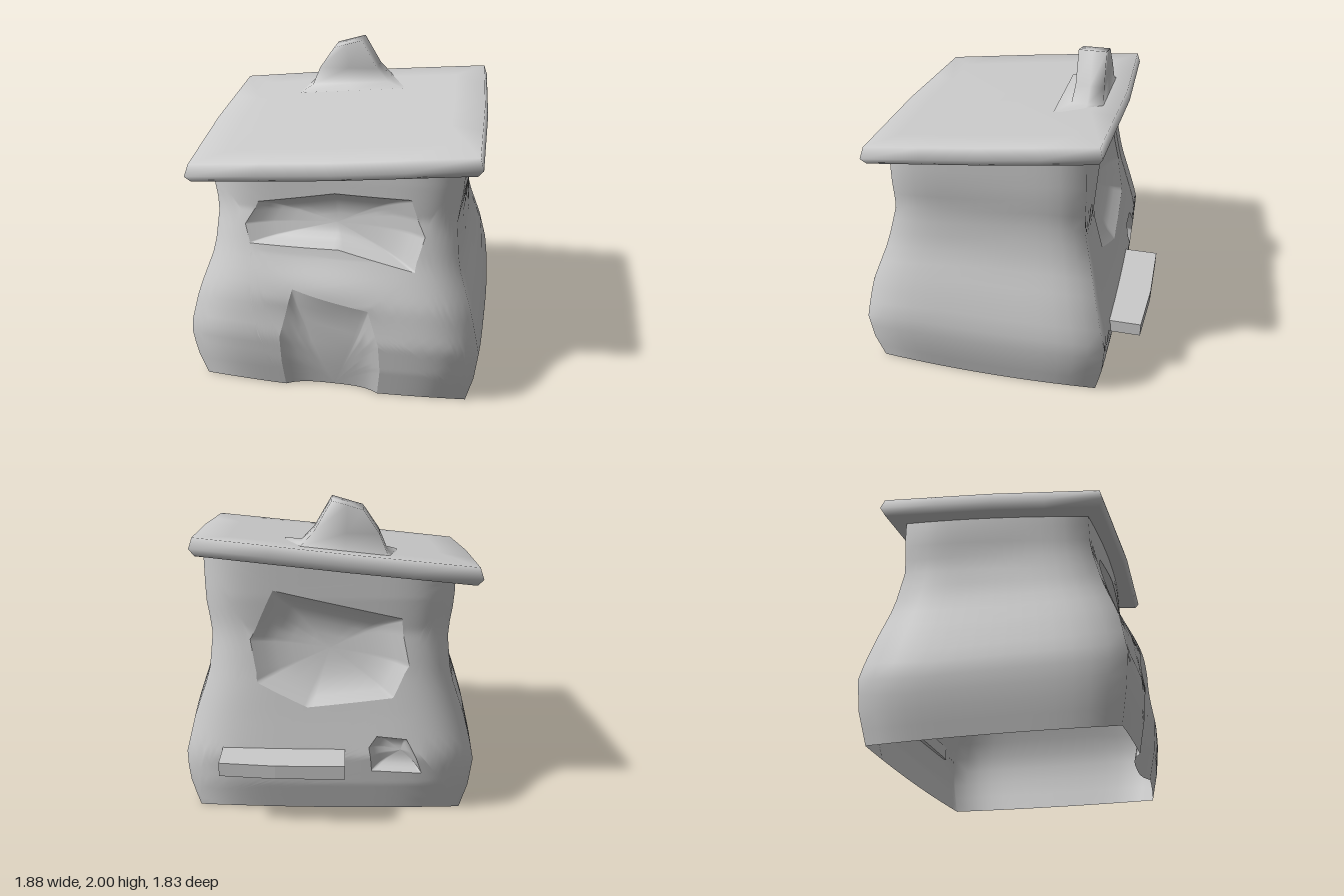
import * as THREE from 'three';
import { mergeGeometries, mergeVertices } from 'three/addons/utils/BufferGeometryUtils.js';

const material = new THREE.MeshStandardMaterial({ color: 0xcccccc, side: THREE.DoubleSide });
const V2 = (p) => new THREE.Vector2(p[0], p[1]);

// Body silhouette by height: y, half width, front z, back z
const profile = [
  [0, 0.88, 0.86, -0.66], [0.2, 0.925, 0.9, -0.7], [0.4, 0.945, 0.92, -0.71],
  [0.65, 0.885, 0.88, -0.645], [0.92, 0.79, 0.785, -0.58], [1.18, 0.765, 0.72, -0.53],
  [1.4, 0.795, 0.72, -0.535], [1.8, 0.8, 0.71, -0.52],
];
function bodyAt(y) {
  let i = 0;
  while (i < profile.length - 2 && y > profile[i + 1][0]) i++;
  const a = profile[i], b = profile[i + 1], t = (y - a[0]) / (b[0] - a[0]);
  const [hw, front, back] = [1, 2, 3].map((k) => a[k] + (b[k] - a[k]) * t);
  return { cx: hw - 0.03, front, back, cornerF: front - 0.04, cornerB: back + 0.025 };
}

// Tilted underside of the roof
const roofY = (x, z) => 1.352 + 0.1 * (x + 0.93) + 0.113 * (0.78 - z);
const wallTop = (sx, sz) => roofY(sx * 0.77, sz > 0 ? 0.67 : -0.5) + 0.03;

// Each wall maps (u, y), seen from outside with u from -1 to 1, to a point
const walls = {
  front: (u, y) => {
    const b = bodyAt(y);
    const lip = 0.04 * Math.exp(-(((u + 0.1) / 0.45) ** 2) - ((y - 0.74) / 0.14) ** 2);
    return [u * b.cx, y, b.front - 0.04 * u * u + lip];
  },
  back: (u, y) => {
    const b = bodyAt(y);
    return [-u * b.cx, y, b.back + 0.025 * u * u];
  },
  left: (u, y) => {
    const b = bodyAt(y);
    return [b.cx + 0.03 * (1 - u * u), y, (b.cornerF + b.cornerB) / 2 - (u * (b.cornerF - b.cornerB)) / 2];
  },
  right: (u, y) => {
    const b = bodyAt(y);
    return [-b.cx - 0.03 * (1 - u * u), y, (b.cornerF + b.cornerB) / 2 + (u * (b.cornerF - b.cornerB)) / 2];
  },
};

// Outline in (x, y) to wall coordinates, counter-clockwise from outside
function toWall(points, sign) {
  const out = points.map(([x, y]) => [(sign * x) / bodyAt(y).cx, y]);
  return sign < 0 ? out.reverse() : out;
}

// Flat wall with openings, split finely and bent onto the body surface
function wallGeometry(map, outline, holes = []) {
  const shape = new THREE.Shape(outline.map(V2));
  holes.forEach((h) => shape.holes.push(new THREE.Path(h.map(V2))));
  const flat = new THREE.ShapeGeometry(shape).toNonIndexed().attributes.position;
  let tris = [];
  for (let i = 0; i < flat.count; i += 3)
    tris.push([0, 1, 2].map((k) => [flat.getX(i + k), flat.getY(i + k)]));
  const mid = (p, q) => [(p[0] + q[0]) / 2, (p[1] + q[1]) / 2];
  for (let n = 0; n < 4; n++)
    tris = tris.flatMap(([a, b, c]) => {
      const ab = mid(a, b), bc = mid(b, c), ca = mid(c, a);
      return [[a, ab, ca], [ab, b, bc], [ca, bc, c], [ab, bc, ca]];
    });
  const g = new THREE.BufferGeometry();
  const pos = tris.flatMap((t) => t.flatMap(([u, y]) => map(u, y)));
  g.setAttribute('position', new THREE.Float32BufferAttribute(pos, 3));
  return g;
}

// Turn the normals gradually around the corners so the walls shade as one soft form
function softenCorners(g) {
  g.computeVertexNormals();
  const p = g.attributes.position, n = g.attributes.normal;
  for (let i = 0; i < p.count; i++) {
    const b = bodyAt(p.getY(i)), midZ = (b.front + b.back) / 2;
    const dx = (p.getX(i) / b.cx) ** 5, dz = ((p.getZ(i) - midZ) / (b.front - midZ)) ** 5;
    const flat = Math.sqrt(Math.max(0, 1 - n.getY(i) ** 2)) / Math.hypot(dx, dz);
    n.setXYZ(i, dx * flat, n.getY(i), dz * flat);
  }
  return g;
}

// Smooth skin over a list of rings, each ring a list of [x, y, z]
function loft(rings, closed = true) {
  const n = rings[0].length, index = [];
  for (let r = 0; r < rings.length - 1; r++)
    for (let i = 0; i < (closed ? n : n - 1); i++) {
      const a = r * n + i, b = r * n + ((i + 1) % n);
      index.push(a, b, b + n, a, b + n, a + n);
    }
  const g = new THREE.BufferGeometry();
  g.setAttribute('position', new THREE.Float32BufferAttribute(rings.flat(2), 3));
  g.setIndex(index);
  g.computeVertexNormals();
  return g;
}

// Insert evenly spaced points along every edge
function densify(points, steps, closed) {
  const out = [];
  const edges = closed ? points.length : points.length - 1;
  for (let i = 0; i < edges; i++) {
    const a = points[i], b = points[(i + 1) % points.length];
    for (let k = 0; k < steps; k++) out.push(a.map((v, j) => v + ((b[j] - v) * k) / steps));
  }
  if (!closed) out.push(points[points.length - 1]);
  return out;
}

// Bowl-shaped hollow behind an opening
function recess(map, rim, center, depth, inward, closed = true) {
  const pts = densify(rim, 16, closed);
  const rings = [[1, 0], [0.85, 0.42], [0.7, 0.7], [0.5, 0.9], [0.25, 0.99], [0, 1]].map(([s, d]) =>
    pts.map(([u, y]) => {
      const p = map(center[0] + (u - center[0]) * s, center[1] + (y - center[1]) * s);
      p[2] += inward * depth * d;
      return p;
    }));
  return loft(rings, closed);
}

export function createModel() {
  const model = new THREE.Group();
  const add = (name, geometry) => {
    const mesh = new THREE.Mesh(geometry, material);
    mesh.name = name;
    model.add(mesh);
    return mesh;
  };

  // Openings
  const door = toWall([[0.29, 0], [0.31, 0.2], [0.3, 0.4], [0.23, 0.63], [-0.24, 0.735], [-0.325, 0.4], [-0.31, 0]], 1);
  const frontWindow = toWall([[-0.53, 0.965], [0.03, 0.975], [0.5, 0.87], [0.55, 1.08],
    [0.46, 1.31], [0, 1.325], [-0.48, 1.23], [-0.565, 1.08]], 1);
  const backWindow = toWall([[-0.4, 0.77], [0.14, 0.71], [0.46, 0.86], [0.5, 1.13],
    [0.35, 1.45], [-0.45, 1.27], [-0.5, 0.97]], -1);
  const vent = toWall([[-0.59, 0.28], [-0.27, 0.3], [-0.25, 0.46], [-0.3, 0.53], [-0.49, 0.51]], -1);

  // Walls, joined into one skin; open underneath
  const top = (l, r) => [[1, r], [-1, l]];
  const box = (l, r) => [[-1, 0], [1, 0], ...top(l, r)];
  const FL = wallTop(1, 1), FR = wallTop(-1, 1), BL = wallTop(1, -1), BR = wallTop(-1, -1);
  add('walls', softenCorners(mergeVertices(mergeGeometries([
    wallGeometry(walls.front, [[-1, 0], ...[...door].reverse(), [1, 0], ...top(FR, FL)], [frontWindow]),
    wallGeometry(walls.back, box(BL, BR), [backWindow, vent]),
    wallGeometry(walls.left, box(FL, BL)),
    wallGeometry(walls.right, box(BR, FR)),
  ]))));

  // Hollows
  add('doorRecess', recess(walls.front, door, [0, 0], 0.06, -1, false));
  add('frontWindowRecess', recess(walls.front, frontWindow, [0, 1.1], 0.1, -1));
  add('backWindowRecess', recess(walls.back, backWindow, [0, 1.05], 0.1, 1));
  add('ventRecess', recess(walls.back, vent, [0.5, 0.41], 0.08, 1));

  // Tilted roof slab, shaded softly over its edges
  const eaves = densify([[-0.91, 0.79], [0, 0.83], [0.87, 0.82], [0.87, 0.1], [0.84, -0.6],
    [-0.1, -0.645], [-0.92, -0.63], [-0.935, 0.1]], 2, true);
  const slab = [[0, 0], [0.78, 0], [0.965, 0], [1, 0.045], [0.975, 0.115], [0.75, 0.118], [0, 0.118]];
  add('roof', loft(slab.map(([s, h]) => eaves.map(([x, z]) => {
    const px = x * s, pz = 0.1 + (z - 0.1) * s;
    return [px, roofY(px, pz) + h, pz];
  }))));

  // Chimney: x range, height at each end, z range
  const stack = [
    [-0.42, 0.29, 1.64, 1.71, -0.57, -0.22], [-0.35, 0.18, 1.68, 1.725, -0.51, -0.31],
    [-0.3, 0.1, 1.8, 1.81, -0.5, -0.32], [-0.2, -0.01, 1.945, 2.0, -0.49, -0.315],
  ];
  const chimney = stack.map(([x0, x1, y0, y1, z0, z1]) =>
    densify([[x0, y0, z1], [x1, y1, z1], [x1, y1, z0], [x0, y0, z0]], 2, true));
  chimney.push(chimney[3].map(() => [-0.105, 1.973, -0.4]));
  add('chimney', loft(chimney));

  // Shelf on the back wall
  const plan = [[-0.1, 0.68], [0.68, 0.68], [0.68, 0.885], [0.33, 0.915], [-0.1, 0.915]];
  const shelf = new THREE.ExtrudeGeometry(new THREE.Shape(plan.map(V2)), { depth: 0.09, bevelEnabled: false });
  shelf.rotateX(-Math.PI / 2);
  add('shelf', shelf).position.y = 0.36;

  return model;
}
